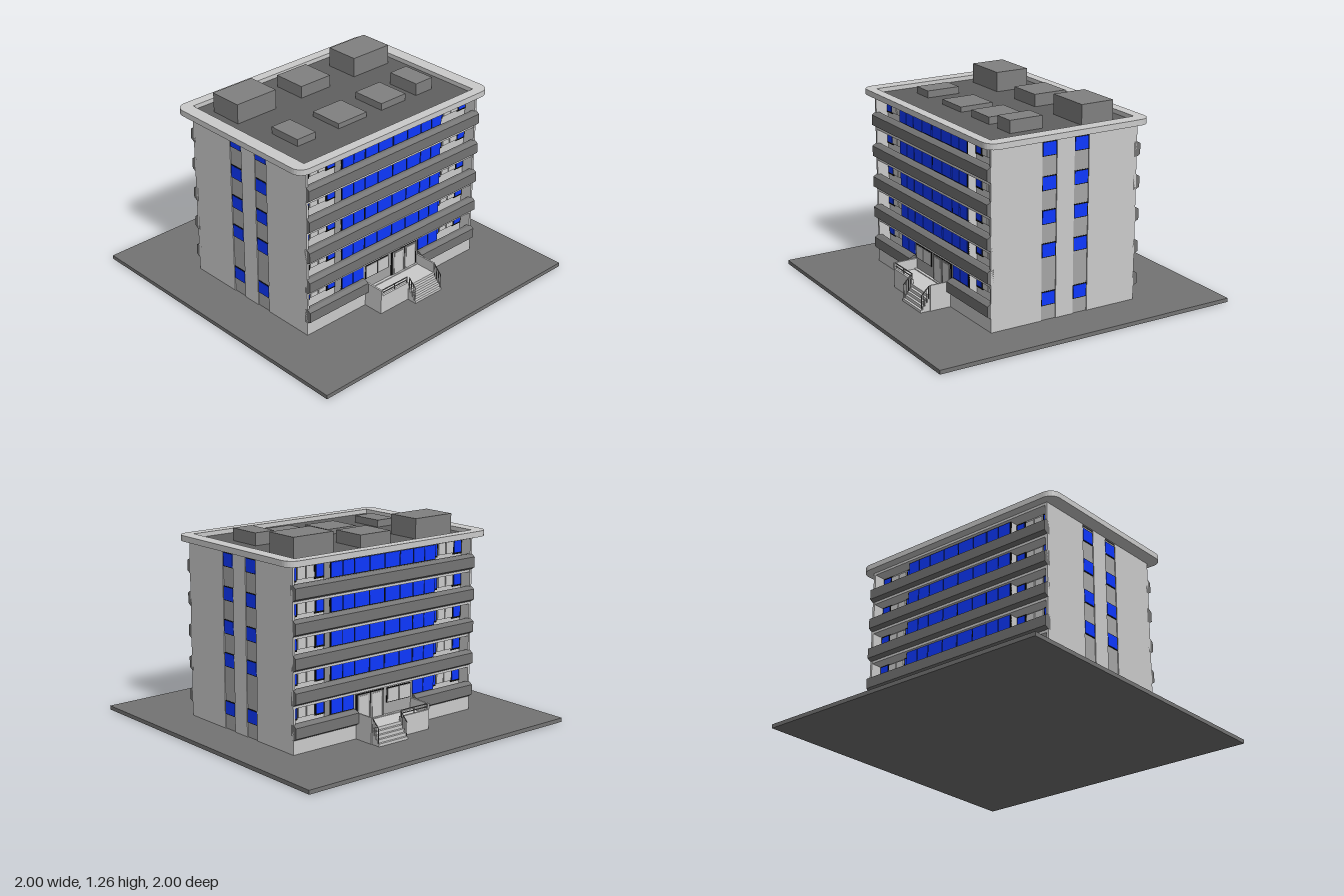
import * as THREE from 'three';

const mat = (color) => new THREE.MeshStandardMaterial({ color, flatShading: true });
const M = {
  light: mat(0xcccccc), strip: mat(0xa6a6a6), dark: mat(0x747474), roof: mat(0x606060),
  hatch: mat(0x808080), black: mat(0x0c0c0c), blue: mat(0x0d38ff), white: mat(0xe6e6e6),
};
const CX = 0.01; // facade symmetry axis

export function createModel() {
  const model = new THREE.Group();
  model.name = 'officeBlock';

  const add = (parent, name, geometry, material) => {
    const mesh = new THREE.Mesh(geometry, material);
    mesh.name = name;
    parent.add(mesh);
    return mesh;
  };
  // Box given by its minimum and maximum on each axis
  const box = (parent, name, material, x0, x1, y0, y1, z0, z1) => {
    const m = add(parent, name, new THREE.BoxGeometry(x1 - x0, y1 - y0, Math.abs(z1 - z0)), material);
    m.position.set((x0 + x1) / 2, (y0 + y1) / 2, (z0 + z1) / 2);
    return m;
  };

  // Ground and body
  box(model, 'ground', M.dark, -1, 1, 0, 0.025, -1, 1);
  box(model, 'core', M.light, -0.675, 0.695, 0.025, 1.13, -0.42, 0.42);
  box(model, 'plinth', M.light, -0.68, 0.7, 0.025, 0.125, -0.5, 0.5);

  // Side walls with two recessed window strips
  for (const s of [-1, 1]) {
    const side = new THREE.Group();
    side.name = s > 0 ? 'leftSide' : 'rightSide';
    model.add(side);
    const bx = (name, m, d0, d1, y0, y1, z0, z1) => {
      const a = CX + s * d0, b = CX + s * d1;
      box(side, name, m, Math.min(a, b), Math.max(a, b), y0, y1, z0, z1);
    };
    for (const [z0, z1] of [[-0.5, -0.16], [-0.06, 0.06], [0.16, 0.5]])
      bx('sideWall', M.light, 0.685, 0.7, 0.025, 1.13, z0, z1);
    for (const zc of [-0.11, 0.11]) {
      bx('windowStrip', M.strip, 0.68, 0.694, 0.025, 1.13, zc - 0.05, zc + 0.05);
      for (const y of [0.115, 0.413, 0.615, 0.818, 1.022]) {
        bx('sideWindowFrame', M.black, 0.685, 0.697, y, y + 0.087, zc - 0.05, zc + 0.05);
        bx('sideWindow', M.blue, 0.685, 0.699, y + 0.005, y + 0.082, zc - 0.044, zc + 0.044);
      }
    }
  }

  // Front and back facades, mirrored in z
  const bandBottoms = [0.11, 0.315, 0.517, 0.72, 0.922];
  const bays = [[-0.395, -0.312], [-0.305, -0.222], [-0.212, -0.115], [-0.107, 0.004],
    [0.014, 0.122], [0.13, 0.238], [0.246, 0.327], [0.334, 0.415]];
  const endBays = [[0.62, 0.675, M.blue], [0.55, 0.608, M.white], [0.487, 0.543, M.white], [0.42, 0.472, M.blue]];

  for (const s of [1, -1]) {
    const facade = new THREE.Group();
    facade.name = s > 0 ? 'frontFacade' : 'backFacade';
    model.add(facade);
    const b = (name, m, x0, x1, y0, y1, z0, z1) => box(facade, name, m, x0, x1, y0, y1, s * z0, s * z1);

    b('centralBay', M.light, -0.4, 0.42, 0.025, 1.13, 0.4, 0.475);
    b('topSlab', M.light, -0.68, 0.7, 1.113, 1.13, 0.4, 0.5);

    bandBottoms.forEach((y, floor) => {
      // Chamfered balcony band
      const h = 0.095;
      const profile = new THREE.Shape([[0.48, 0], [0.5, 0], [0.525, 0.015], [0.525, h - 0.015], [0.5, h], [0.48, h]]
        .map(([z, v]) => new THREE.Vector2(-s * z, y + v)));
      const parts = floor ? [[-0.69, 0.71]] : [[-0.69, -0.22], [0.24, 0.71]];
      for (const [x0, x1] of parts) {
        const geo = new THREE.ExtrudeGeometry(profile, { depth: x1 - x0, bevelEnabled: false });
        add(facade, 'balconyBand', geo.rotateY(Math.PI / 2).translate(x0, 0, 0), M.dark);
      }
      if (floor) b('floorSlab', M.light, -0.68, 0.7, y - 0.016, y + 0.02, 0.4, 0.498);

      // Ribbon windows in the middle, recessed windows at the ends
      const w0 = y + 0.09, w1 = y + 0.188;
      for (const [x0, x1] of floor ? [[-0.4, 0.42]] : [[-0.4, -0.22], [0.24, 0.42]])
        b('ribbonFrame', M.black, x0, x1, w0, w1, 0.47, 0.48);
      bays.forEach(([x0, x1], i) => {
        if (floor || i < 2 || i > 5) b('ribbonWindow', M.blue, x0, x1, w0 + 0.01, w1 - 0.004, 0.475, 0.484);
      });
      for (const e of [-1, 1]) for (const [d0, d1, m] of endBays) {
        const x0 = CX + Math.min(e * d0, e * d1), x1 = CX + Math.max(e * d0, e * d1);
        if (m === M.blue) b('endWindowFrame', M.black, x0 - 0.009, x1 + 0.009, w0, w1, 0.41, 0.426);
        b('endWindow', m, x0, x1, w0 + 0.012, w1 - 0.01, 0.41, 0.43);
      }
    });

    // Entrance: paired windows and double door
    b('entranceWall', M.strip, -0.22, 0.24, 0.12, 0.3, 0.47, 0.482);
    b('doorFrame', M.black, 0.012, 0.23, 0.12, 0.29, 0.47, 0.486);
    for (const x of [0.024, 0.125]) {
      b('doorLeaf', M.strip, x, x + 0.093, 0.12, 0.284, 0.475, 0.489);
      b('doorGlass', M.white, x + 0.012, x + 0.081, 0.13, 0.276, 0.48, 0.491);
    }
    b('entranceWindowFrame', M.black, -0.205, -0.012, 0.195, 0.288, 0.47, 0.486);
    for (const x of [-0.2, -0.105])
      b('entranceWindow', M.white, x, x + 0.087, 0.2, 0.282, 0.475, 0.489);

    // Porch with parapets and railing
    b('porch', M.light, -0.22, 0.24, 0.025, 0.12, 0.47, 0.635);
    b('porchParapet', M.light, -0.22, 0.01, 0.12, 0.148, 0.623, 0.637);
    b('porchSideWall', M.light, -0.22, -0.208, 0.12, 0.187, 0.48, 0.637);
    b('porchSideWall', M.light, 0.23, 0.24, 0.12, 0.187, 0.48, 0.635);
    for (const y of [0.163, 0.182]) b('porchRail', M.dark, -0.21, 0.005, y, y + 0.005, 0.627, 0.632);
    for (const x of [-0.21, -0.105, 0]) b('porchPost', M.dark, x, x + 0.005, 0.145, 0.187, 0.627, 0.632);

    // Steps and their handrails
    for (let i = 0; i < 4; i++)
      b('step', M.light, 0.01, 0.235, 0.025, 0.102 - i * 0.02, 0.63, 0.652 + i * 0.016);
    for (const x of [0.01, 0.231]) {
      for (let i = 0; i < 4; i++) {
        const z = 0.642 + i * 0.016;
        b('stairPost', M.dark, x, x + 0.004, 0.095 - i * 0.02, 0.183 - i * 0.016, z, z + 0.003);
      }
      const rail = b('stairHandrail', M.dark, x, x + 0.004, 0.153, 0.158, 0.628, 0.706);
      rail.rotation.x = s * Math.PI / 4;
    }
  }

  // Roof rim: rounded slab with a rectangular opening
  const [X0, X1, Z0, Z1, R] = [-0.775, 0.77, -0.555, 0.548, 0.07];
  const rim = new THREE.Shape();
  rim.absarc(X1 - R, Z1 - R, R, 0, Math.PI / 2);
  rim.absarc(X0 + R, Z1 - R, R, Math.PI / 2, Math.PI);
  rim.absarc(X0 + R, Z0 + R, R, Math.PI, Math.PI * 1.5);
  rim.absarc(X1 - R, Z0 + R, R, Math.PI * 1.5, Math.PI * 2);
  rim.holes.push(new THREE.Path([[-0.69, -0.49], [-0.69, 0.485], [0.685, 0.485], [0.685, -0.49]]
    .map(([x, z]) => new THREE.Vector2(x, z))));
  const rimGeo = new THREE.ExtrudeGeometry(rim, { depth: 0.036, bevelEnabled: false, curveSegments: 3 });
  add(model, 'roofRim', rimGeo.rotateX(Math.PI / 2).translate(0, 1.165, 0), M.light);
  box(model, 'roofDeck', M.roof, -0.69, 0.685, 1.12, 1.138, -0.49, 0.485);

  // Rooftop housings: x range, top, row
  for (const [x0, x1, top, back] of [
    [-0.615, -0.32, 1.262, true], [-0.117, 0.117, 1.215, true], [0.32, 0.615, 1.262, true],
    [-0.55, -0.41, 1.182, false], [-0.23, -0.005, 1.17, false], [0.117, 0.318, 1.182, false], [0.41, 0.547, 1.215, false],
  ]) box(model, 'roofHousing', M.hatch, x0, x1, 1.13, top, back ? -0.39 : 0.055, back ? -0.17 : 0.275);

  return model;
}
